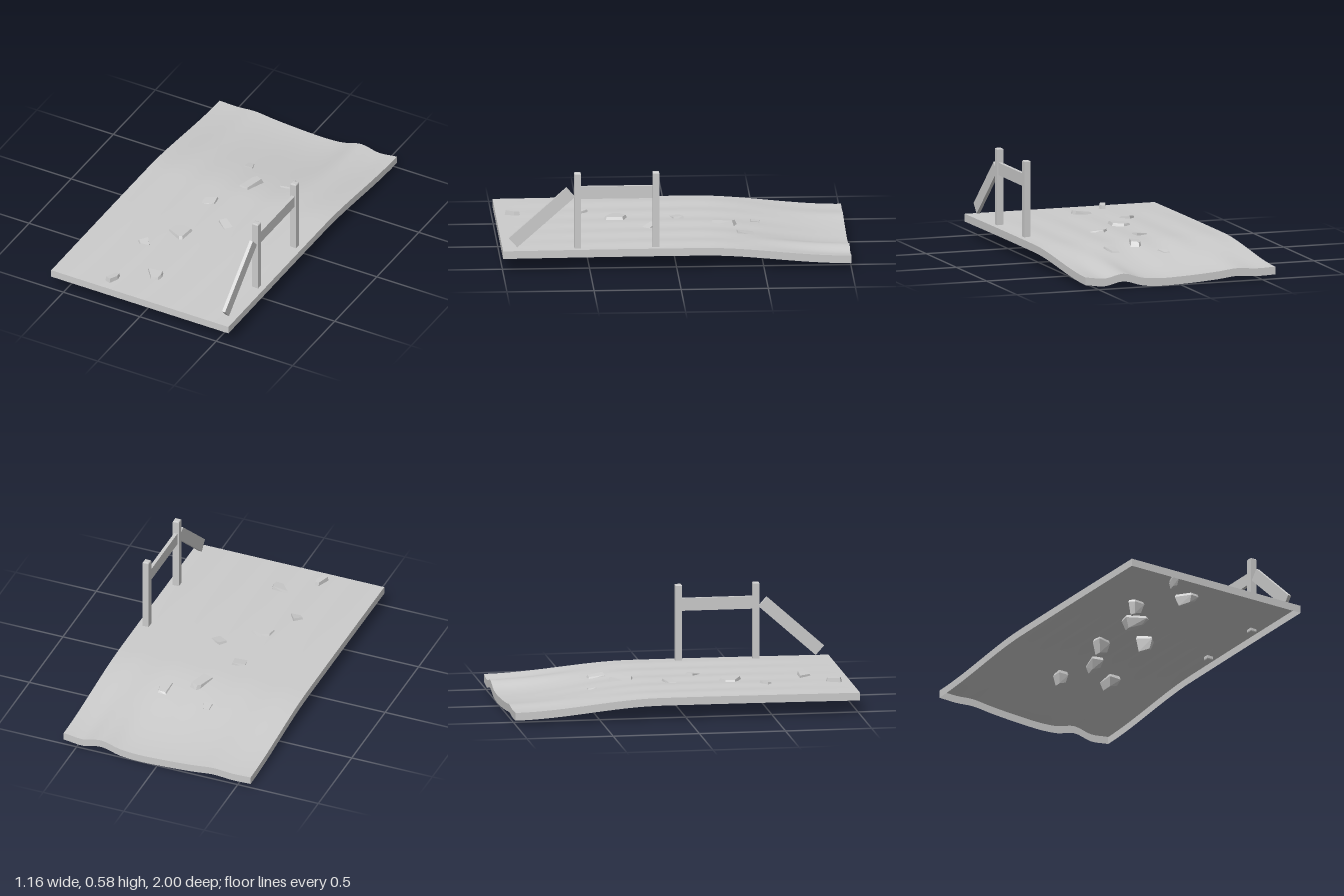
import * as THREE from 'three';
import { ConvexGeometry } from 'three/addons/geometries/ConvexGeometry.js';

const W = 1.16, L = 2, SKIRT = 0.045;
const grey = new THREE.MeshStandardMaterial({ color: 0xcccccc });
const sheet = new THREE.MeshStandardMaterial({ color: 0xcccccc, side: THREE.DoubleSide });
const stone = new THREE.MeshStandardMaterial({ color: 0xcccccc, flatShading: true });

// Height profile of the wavy back edge, evenly spaced across the width
const backEdge = new THREE.SplineCurve(
  [0.07, 0.067, 0.075, 0.063, 0.054, 0.048, 0.045, 0.054, 0.084, 0.062, 0.075]
    .map((y, i) => new THREE.Vector2(i, y)));

// Ground height: level at the front, gentle swells, sinking to the wavy back edge
function groundY(x, z) {
  const drop = 1 - THREE.MathUtils.smoothstep(z, -1, -0.15);
  const u = THREE.MathUtils.clamp(x / W + 0.5, 0, 1);
  const swell = 0.01 * Math.sin(Math.PI * (z + 1) / 2) * (0.4 + 0.6 * Math.cos(x * 14) ** 2);
  return THREE.MathUtils.lerp(0.127, backEdge.getPoint(u).y, drop) + swell * (1 - 0.7 * drop);
}

function makeGround() {
  const group = new THREE.Group();
  group.name = 'ground';
  const top = new THREE.PlaneGeometry(W, L, 40, 50).rotateX(-Math.PI / 2);
  const p = top.attributes.position;
  for (let i = 0; i < p.count; i++) p.setY(i, groundY(p.getX(i), p.getZ(i)));
  top.computeVertexNormals();
  const surface = new THREE.Mesh(top, sheet);
  surface.name = 'groundSurface';
  group.add(surface);

  // Skirt strips hanging from the four edges, open underneath
  const corners = [[-W / 2, 1], [W / 2, 1], [W / 2, -1], [-W / 2, -1]];
  corners.forEach(([ax, az], k) => {
    const [bx, bz] = corners[(k + 1) % 4];
    const n = k % 2 ? 50 : 40;
    const strip = new THREE.PlaneGeometry(1, 1, n, 1);
    const q = strip.attributes.position;
    for (let i = 0; i < q.count; i++) {
      const t = q.getX(i) + 0.5;
      const x = THREE.MathUtils.lerp(ax, bx, t), z = THREE.MathUtils.lerp(az, bz, t);
      q.setXYZ(i, x, groundY(x, z) - (q.getY(i) < 0 ? SKIRT : 0), z);
    }
    strip.computeVertexNormals();
    const mesh = new THREE.Mesh(strip, sheet);
    mesh.name = 'groundEdge';
    group.add(mesh);
  });
  return group;
}

// Angular stone: a slanted, narrowed top, a full waist at ground level, a tapered buried foot
function makeRock({ at: [cx, cz], up, down, lean, outline }) {
  const pts = [];
  const g = groundY(cx, cz);
  for (const [x, z] of outline) {
    pts.push(new THREE.Vector3(cx + x * 0.85, g + up + (x * lean[0] + z * lean[1]), cz + z * 0.85));
    pts.push(new THREE.Vector3(cx + x * 1.05, g - 0.015, cz + z * 1.05));
    pts.push(new THREE.Vector3(cx + x * 0.7, g - down + x * 0.25, cz + z * 0.7));
  }
  const rock = new THREE.Mesh(new ConvexGeometry(pts), stone);
  rock.name = 'rock';
  return rock;
}

const rocks = [
  { at: [-0.09, -0.48], up: 0.006, down: 0.07, lean: [0, 0.15], outline: [[-0.03, -0.03], [0.01, -0.03], [0.03, 0.03], [-0.03, 0.03]] },
  { at: [0.2, -0.41], up: 0.01, down: 0.06, lean: [0.1, 0.1], outline: [[-0.035, 0.055], [-0.03, -0.05], [0.02, -0.055], [0.04, 0.05]] },
  { at: [0.01, -0.29], up: 0.016, down: 0.06, lean: [0.1, 0], outline: [[-0.045, 0.055], [-0.01, -0.06], [0.01, -0.08], [0.055, -0.06], [0.02, 0.07]] },
  { at: [-0.11, -0.03], up: 0.009, down: 0.085, lean: [0.1, -0.1], outline: [[-0.045, -0.015], [0.035, -0.045], [0.045, 0.02], [-0.04, 0.045]] },
  { at: [0.08, 0.13], up: 0.01, down: 0.08, lean: [-0.1, -0.1], outline: [[-0.05, -0.005], [-0.015, -0.045], [0.06, 0.005], [0.02, 0.05]] },
  { at: [-0.12, 0.32], up: 0.016, down: 0.06, lean: [0.05, 0], outline: [[-0.06, 0.02], [-0.05, -0.04], [0, -0.07], [0.07, -0.045], [0.06, 0.06], [0.04, 0.07]] },
  { at: [-0.235, 0.505], up: 0.012, down: 0.08, lean: [0, -0.15], outline: [[-0.045, 0.01], [0, -0.035], [0.045, 0.03], [-0.02, 0.035]] },
  { at: [-0.04, 0.76], up: 0.014, down: 0.055, lean: [0.1, -0.1], outline: [[-0.06, -0.035], [0.045, -0.035], [0.055, 0], [0.05, 0.035], [0, 0.04]] },
  { at: [-0.23, 0.905], up: 0.024, down: 0.055, lean: [0, 0.05], outline: [[-0.03, 0.035], [0, -0.045], [0.025, -0.045], [0.03, -0.01], [0.005, 0.045]] },
];

// Square post with chamfered edges and a bevelled cap
function makePost(z) {
  const h = 0.0125, bevel = 0.0065, y0 = 0.11, y1 = 0.575;
  const square = new THREE.Shape([[-h, -h], [h, -h], [h, h], [-h, h]].map(([x, y]) => new THREE.Vector2(x, y)));
  const geo = new THREE.ExtrudeGeometry(square, {
    depth: y1 - y0 - 2 * bevel, bevelSize: bevel, bevelThickness: bevel, bevelSegments: 2,
  }).rotateX(-Math.PI / 2).translate(0, y0 + bevel, 0);
  const post = new THREE.Mesh(geo, grey);
  post.name = 'fencePost';
  post.position.set(0.528, 0, z);
  return post;
}

function makeRail(name, y, z, length, tilt) {
  const rail = new THREE.Mesh(new THREE.BoxGeometry(0.02, 0.073, length), grey);
  rail.name = name;
  rail.position.set(0.528, y, z);
  rail.rotation.x = tilt;
  return rail;
}

export function createModel() {
  const model = new THREE.Group();
  model.name = 'groundWithBrokenFence';
  model.add(makeGround());

  const rockGroup = new THREE.Group();
  rockGroup.name = 'rocks';
  rocks.forEach((r) => rockGroup.add(makeRock(r)));
  model.add(rockGroup);

  // Two posts, one rail in place and one slipped to the ground
  const fence = new THREE.Group();
  fence.name = 'fence';
  [0.12, 0.57].forEach((z) => fence.add(makePost(z)));
  fence.add(makeRail('upperRail', 0.457, 0.345, 0.43, 0));
  fence.add(makeRail('fallenRail', 0.313, 0.775, 0.443, 0.726));
  model.add(fence);
  return model;
}
